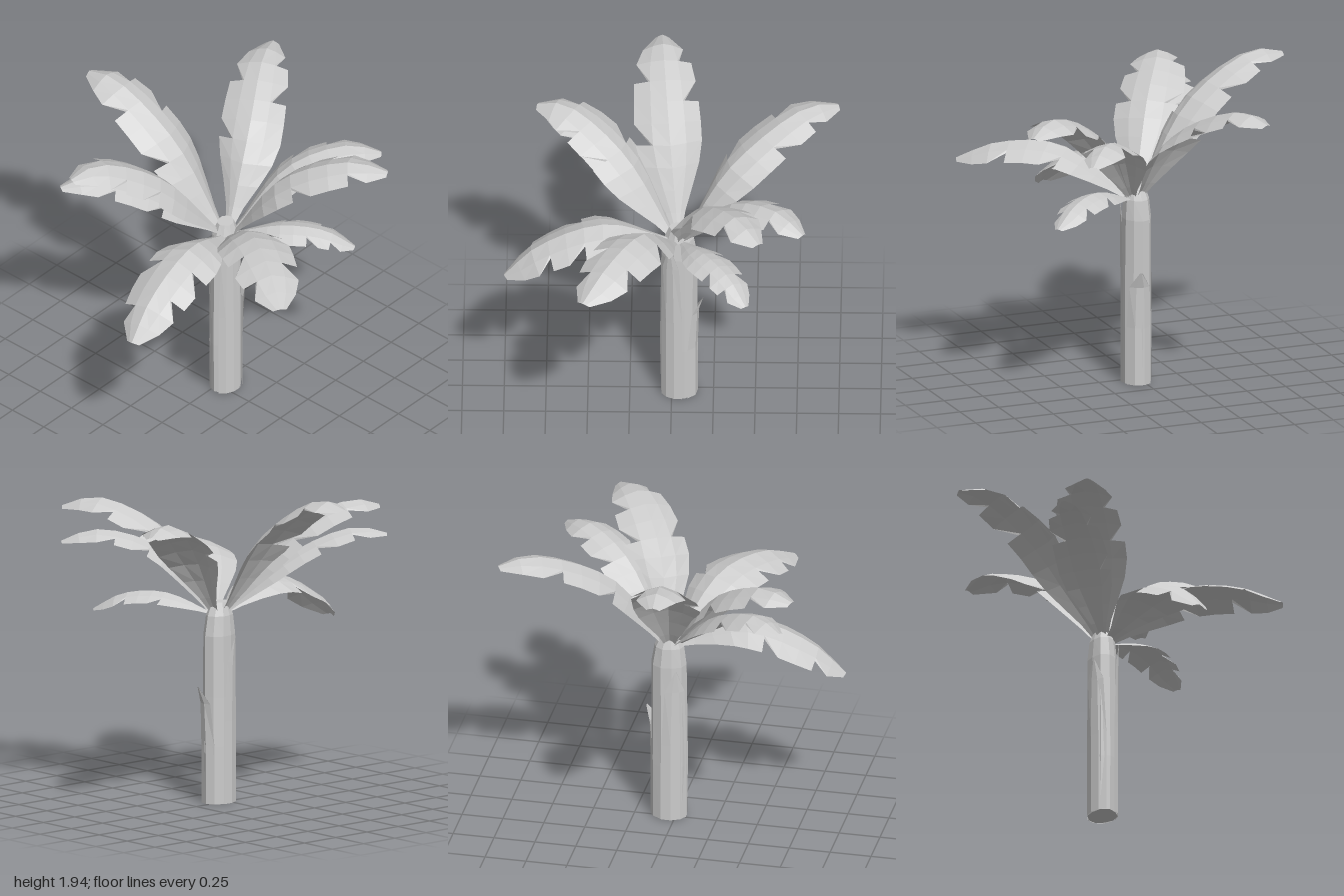
import * as THREE from 'three';

const material = new THREE.MeshStandardMaterial({ color: 0xcccccc, flatShading: true, side: THREE.DoubleSide });
const UP = new THREE.Vector3(0, 1, 0);

function meshFrom(name, positions) {
  const geometry = new THREE.BufferGeometry();
  geometry.setAttribute('position', new THREE.Float32BufferAttribute(positions, 3));
  geometry.computeVertexNormals();
  const mesh = new THREE.Mesh(geometry, material);
  mesh.name = name;
  return mesh;
}

function quad(out, a, b, c, d) {
  for (const p of [a, b, c, a, c, d]) out.push(p.x, p.y, p.z);
}

// Relative half width of a blade from stalk (0) to blunt tip (1)
const BLADE = [0.1, 0.3, 0.6, 0.87, 1, 1, 0.97, 0.92, 0.82, 0.6, 0.2];

// Roof-shaped blade along a midrib that starts at the crown; torn segments
// begin with a notch and shift from leaf to leaf
function leaf(name, halfWidth, rib, index) {
  const points = rib.map(p => new THREE.Vector3(...p));
  const base = new THREE.Vector3(0.04, 1.14, 0.04);
  base.x += points[2].x * 0.03;
  base.z += points[2].z * 0.03;
  const curve = new THREE.CatmullRomCurve3([base, ...points]);
  const n = BLADE.length - 1;
  const tears = [[4 + (index % 2), 7], [6 - (index % 2), 8]];
  const out = [];
  const at = (i, s, across, pull) => {
    const t = curve.getTangentAt(i / n);
    const side = new THREE.Vector3().crossVectors(t, UP).normalize();
    const normal = new THREE.Vector3().crossVectors(side, t);
    const w = BLADE[i] * halfWidth * across * pull;
    return curve.getPointAt(i / n)
      .addScaledVector(side, s * w)
      .addScaledVector(normal, -0.42 * w * (0.5 + 0.5 * across))
      .addScaledVector(t, i < n ? 0.1 * w : -0.1 * w);
  };
  [-1, 1].forEach((s, k) => {
    for (let i = 0; i < n; i++) {
      const pull = tears[k].includes(i) ? 0.55 : 1;
      const rows = [0, 0.5, 1].map(a => [at(i, s, a, a === 1 ? pull : 1), at(i + 1, s, a, 1)]);
      for (let j = 0; j < 2; j++) {
        const [a, b] = rows[j], [d, c] = rows[j + 1];
        if (s > 0) quad(out, a, d, c, b);
        else quad(out, a, b, c, d);
      }
    }
  });
  return meshFrom(name, out);
}

// Stem from ten-sided rings [y, x, z, radiusX, radiusZ]
function stem(rings) {
  const n = 10, out = [];
  const loops = rings.map(([y, x, z, rx, rz]) => Array.from({ length: n }, (_, i) => {
    const a = (i / n) * Math.PI * 2;
    const k = i % 3 === 1 ? 0.93 : 1;
    return new THREE.Vector3(x + Math.cos(a) * rx * k, y, z + Math.sin(a) * rz * k);
  }));
  for (let r = 0; r < loops.length - 1; r++) {
    for (let i = 0; i < n; i++) {
      const j = (i + 1) % n;
      quad(out, loops[r][i], loops[r + 1][i], loops[r + 1][j], loops[r][j]);
    }
  }
  // Closed ends
  for (const [loop, flip] of [[loops[0], false], [loops[loops.length - 1], true]]) {
    for (let i = 1; i < n - 1; i++) {
      const tri = flip ? [loop[0], loop[i + 1], loop[i]] : [loop[0], loop[i], loop[i + 1]];
      for (const p of tri) out.push(p.x, p.y, p.z);
    }
  }
  return meshFrom('trunk', out);
}

// Old leaf base wrapped round the trunk, ending in a loose point
function sheath(name, angle, spread, height, flare) {
  const out = [];
  const rows = [[0, 1, 0], [0.5, 1, 0], [0.86, 0.75, 0.2], [1, 0.06, 1]].map(([t, w, f]) =>
    [-1, -0.35, 0.35, 1].map(u => {
      const a = angle + u * spread * w;
      const r = 1 + flare * f;
      return new THREE.Vector3(0.045 + Math.cos(a) * 0.112 * r, t * height, 0.03 + Math.sin(a) * 0.092 * r);
    }));
  for (let r = 0; r < 3; r++) {
    for (let i = 0; i < 3; i++) quad(out, rows[r][i], rows[r + 1][i], rows[r + 1][i + 1], rows[r][i + 1]);
  }
  return meshFrom(name, out);
}

export function createModel() {
  const group = new THREE.Group();
  group.name = 'broadLeafPalm';

  group.add(stem([
    [0, 0.045, 0.03, 0.108, 0.088],
    [0.35, 0.043, 0.03, 0.113, 0.09],
    [0.65, 0.043, 0.03, 0.11, 0.088],
    [1.02, 0.046, 0.028, 0.108, 0.086],
    [1.14, 0.043, 0.028, 0.09, 0.075],
    [1.22, 0.04, 0.03, 0.055, 0.05],
  ]));
  group.add(sheath('looseSheath', 0.2, 0.9, 0.71, 0.3));
  group.add(sheath('backSheath', -2.1, 0.8, 1.0, 0.03));
  group.add(sheath('frontSheath', 2.1, 0.7, 1.12, 0.02));

  // Crown of leaves: half width, then the middle, crest and tip of the midrib
  const leaves = [
    ['backLeaf', 0.2, [[-0.02, 1.68, -0.33], [-0.06, 1.94, -0.77], [-0.07, 1.91, -0.96]]],
    ['lowRightLeaf', 0.21, [[-0.4, 1.31, 0.13], [-0.8, 1.17, 0.17], [-1, 0.98, 0.2]]],
    ['frontRightLeaf', 0.21, [[-0.18, 1.45, 0.42], [-0.38, 1.45, 0.75], [-0.52, 1.34, 0.96]]],
    ['frontLeftLeaf', 0.19, [[0.18, 1.62, 0.36], [0.4, 1.8, 0.72], [0.53, 1.74, 0.89]]],
    ['backLeftLeaf', 0.19, [[0.36, 1.6, -0.08], [0.8, 1.84, -0.34], [0.99, 1.8, -0.43]]],
    ['backRightLeaf', 0.2, [[-0.3, 1.62, -0.18], [-0.64, 1.81, -0.39], [-0.81, 1.77, -0.45]]],
    ['lowBackRightLeaf', 0.16, [[-0.3, 1.51, -0.24], [-0.6, 1.66, -0.47], [-0.76, 1.62, -0.58]]],
    ['leftLeaf', 0.16, [[0.35, 1.57, 0.26], [0.64, 1.67, 0.48], [0.79, 1.6, 0.61]]],
    ['smallLowLeaf', 0.13, [[0.2, 1.25, 0.34], [0.35, 1.23, 0.55], [0.45, 1.13, 0.7]]],
  ];
  leaves.forEach((spec, i) => group.add(leaf(...spec, i)));
  return group;
}
